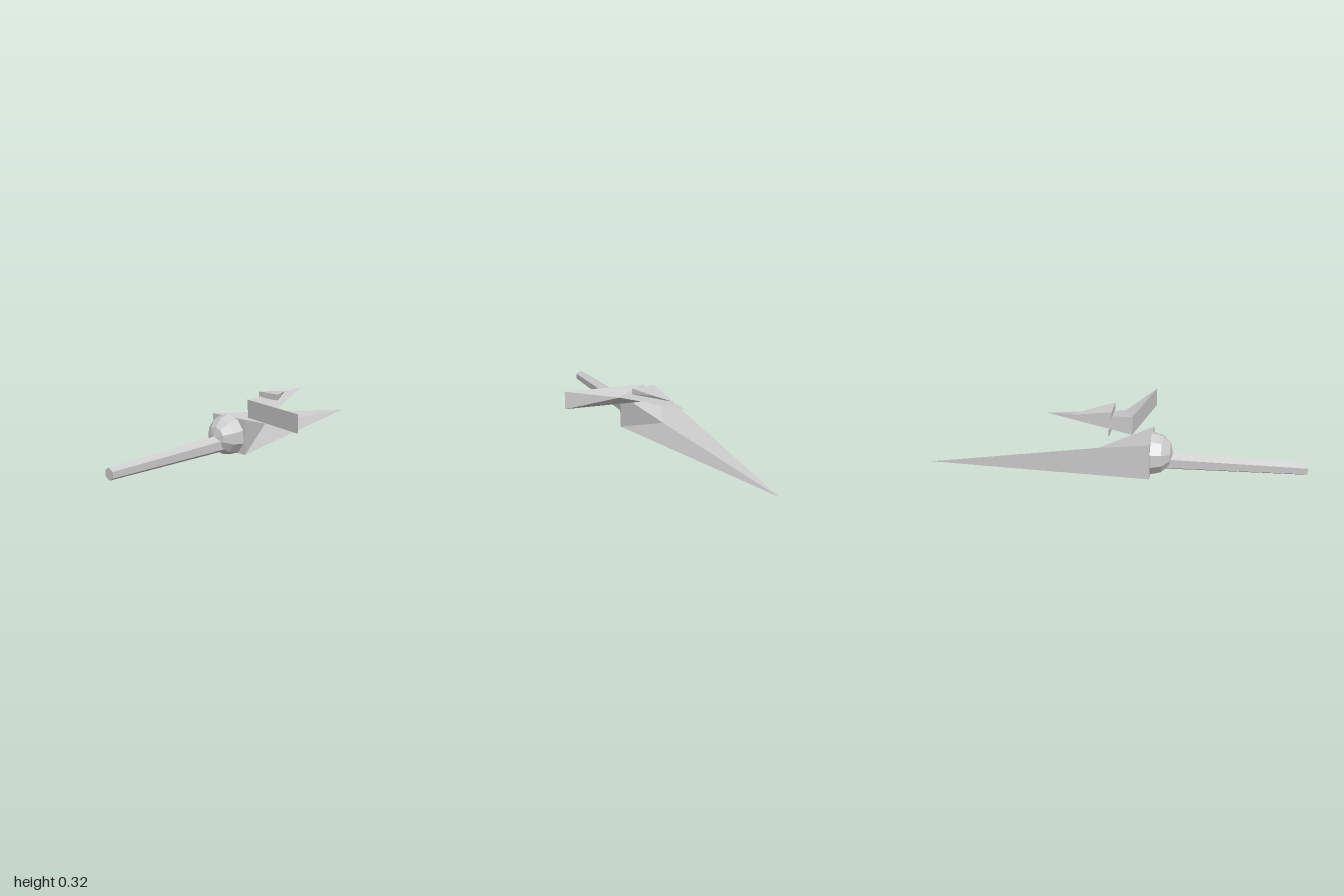
import * as THREE from 'three';

const material = new THREE.MeshStandardMaterial({
  color: 0xcccccc, flatShading: true, side: THREE.DoubleSide,
});

function add(group, name, geometry, x = 0, y = 0, z = 0) {
  const mesh = new THREE.Mesh(geometry, material);
  mesh.name = name;
  mesh.position.set(x, y, z);
  group.add(mesh);
  return mesh;
}

// Spike with a rectangular front (from a to b, low to high), a tip at the back
// and a knee on its +x side. The underside follows the knee when bentBelow is set.
function spike({ a, b, low, high, knee, tip, bentBelow = false }) {
  const A = [a[0], high, a[1]], B = [b[0], high, b[1]];
  const a0 = [a[0], low, a[1]], b0 = [b[0], low, b[1]];
  const faces = [
    [a0, b0, B], [a0, B, A],        // front
    [A, B, knee], [A, knee, tip],   // top
    [B, b0, knee],                  // +x side
    [a0, A, tip],                   // -x side
  ];
  if (bentBelow) faces.push([a0, knee, b0], [a0, tip, knee]);
  else faces.push([a0, tip, b0], [b0, tip, knee]);
  const geometry = new THREE.BufferGeometry();
  geometry.setAttribute('position', new THREE.Float32BufferAttribute(faces.flat(2), 3));
  geometry.computeVertexNormals();
  return geometry;
}

export function createModel() {
  const model = new THREE.Group();
  model.name = 'model';

  // Long body tapering to the back
  add(model, 'body', spike({
    a: [-0.3, 0.185], b: [-0.055, 0.185], low: 0.02, high: 0.215,
    knee: [-0.17, 0.122, -0.105], tip: [-0.283, 0.035, -1],
  }));

  // Swept wing on one side
  add(model, 'wing', spike({
    a: [-0.137, 0.075], b: [0.298, 0.163], low: 0.195, high: 0.297,
    knee: [0.035, 0.264, 0.02], tip: [-0.137, 0.297, -0.387], bentBelow: true,
  }));

  // Small fin on top of the wing
  add(model, 'fin', spike({
    a: [-0.15, -0.033], b: [-0.014, -0.033], low: 0.292, high: 0.325,
    knee: [-0.08, 0.31, -0.155], tip: [-0.145, 0.295, -0.25],
  }));

  // Thin plate beside the wing
  add(model, 'plate', new THREE.BoxGeometry(0.072, 0.033, 0.006), -0.179, 0.231, -0.04);

  // Faceted dome on the front of the body
  const dome = new THREE.SphereGeometry(0.1155, 10, 3, Math.PI / 2, Math.PI * 2, 0, Math.PI / 2);
  dome.rotateX(Math.PI / 2);
  add(model, 'dome', dome, -0.178, 0.116, 0.185);

  // Six-sided boom reaching forward
  const boom = new THREE.CylinderGeometry(0.033, 0.05, 0.8, 6);
  boom.rotateX(Math.PI / 2);
  add(model, 'boom', boom, -0.178, 0.077, 0.6);

  return model;
}
